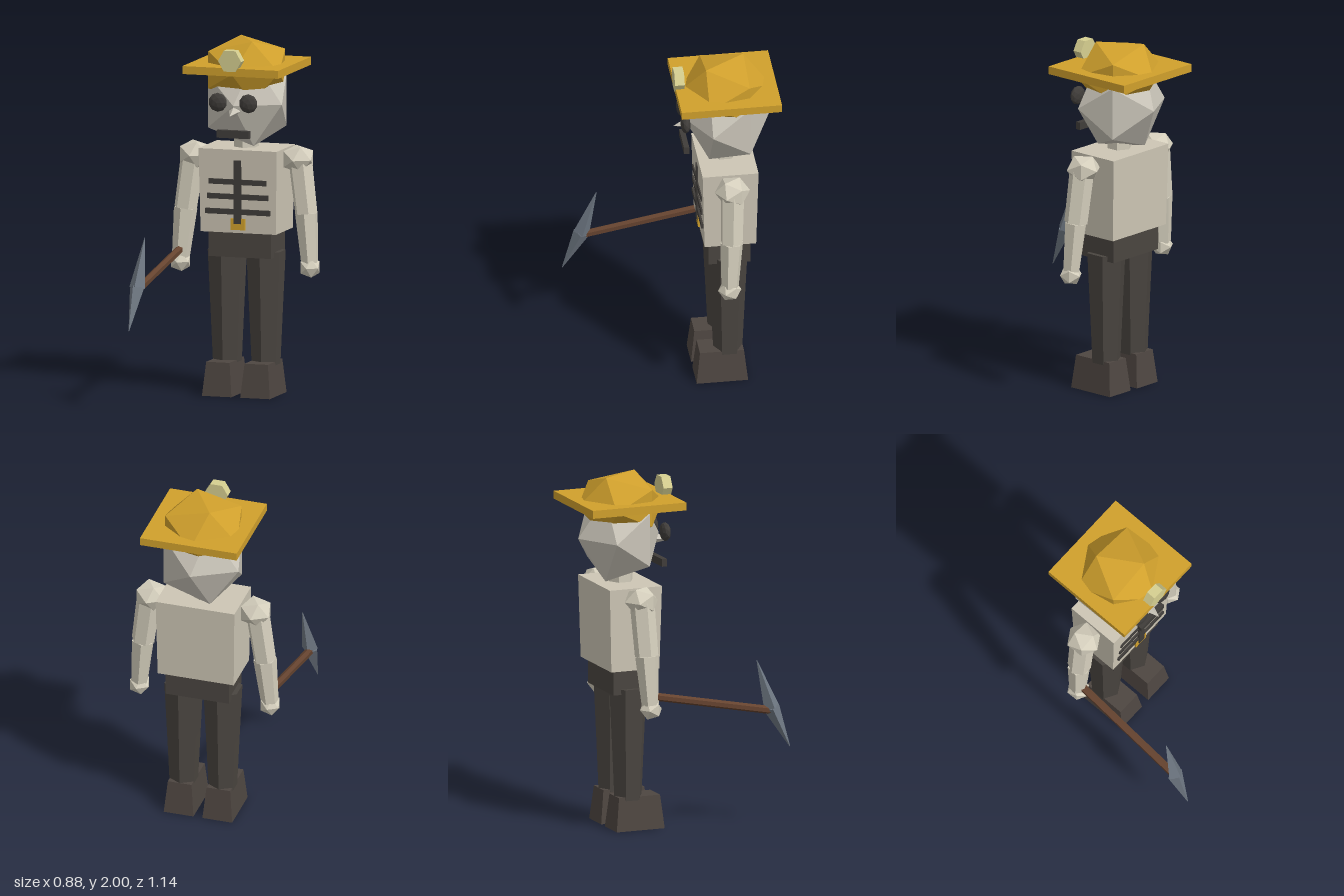
import * as THREE from 'three';

const mat = (name, color) => {
  const m = new THREE.MeshStandardMaterial({ color, flatShading: true });
  m.name = name;
  return m;
};

export function createModel() {
  const root = new THREE.Group();
  root.name = 'skeletonMiner';

  const skullBone = mat('skull bone', 0xc9c4b8);
  const bone = mat('bone', 0xd5cfbd);
  const shirt = mat('pale torso', 0xcdc6b5);
  const gold = mat('helmet gold', 0xd0a02c);
  const lampGlass = mat('lamp yellow', 0xd6cf90);
  const dark = mat('dark features', 0x403d3a);
  const trousers = mat('trousers', 0x4a4540);
  const boots = mat('boots', 0x4e4641);
  const wood = mat('wood', 0x65432f);
  const steel = mat('steel', 0x6f7883);

  const add = (name, geo, material, x = 0, y = 0, z = 0) => {
    const mesh = new THREE.Mesh(geo, material);
    mesh.name = name;
    mesh.position.set(x, y, z);
    root.add(mesh);
    return mesh;
  };

  // Faceted ball with its poles along z
  const ball = (name, material, [x, y, z], [rx, ry, rz], detail = 0) => {
    const geo = new THREE.IcosahedronGeometry(1, detail);
    geo.rotateX(Math.atan2(1, (1 + Math.sqrt(5)) / 2)).rotateZ(Math.PI / 2).scale(rx, ry, rz);
    return add(name, geo, material, x, y, z);
  };

  // Box whose top and bottom have different widths and depths
  const taperBox = (name, material, [x, y, z], h, [topW, topD], [botW, botD]) => {
    const geo = new THREE.BoxGeometry(1, h, 1);
    const p = geo.attributes.position;
    for (let i = 0; i < p.count; i++) {
      const up = p.getY(i) > 0;
      p.setX(i, p.getX(i) * (up ? topW : botW));
      p.setZ(i, p.getZ(i) * (up ? topD : botD));
    }
    geo.computeVertexNormals();
    return add(name, geo, material, x, y, z);
  };

  // Tapered prism running from point a (radius ra) to point b (radius rb)
  const limb = (name, material, a, b, ra, rb, sides = 6) => {
    const from = new THREE.Vector3(...a), to = new THREE.Vector3(...b);
    const dir = to.clone().sub(from);
    const mesh = add(name, new THREE.CylinderGeometry(rb, ra, dir.length(), sides), material);
    mesh.position.copy(from).add(to).multiplyScalar(0.5);
    mesh.quaternion.setFromUnitVectors(new THREE.Vector3(0, 1, 0), dir.normalize());
    return mesh;
  };

  const box = (name, material, w, h, d, x, y, z) =>
    add(name, new THREE.BoxGeometry(w, h, d), material, x, y, z);

  // Torso, hips and neck
  taperBox('torso', shirt, [0, 1.157, -0.292], 0.47, [0.46, 0.315], [0.444, 0.29]);
  box('hips', trousers, 0.37, 0.15, 0.235, 0, 0.855, -0.292);
  limb('neck', bone, [0, 1.34, -0.288], [0, 1.47, -0.288], 0.07, 0.07);

  // Chest markings and buckle
  box('spine', dark, 0.042, 0.358, 0.026, 0, 1.154, -0.142);
  [[1.21, 0.34], [1.127, 0.36], [1.042, 0.38]].forEach(([y, w]) =>
    box('rib', dark, w, 0.03, 0.024, 0, y, -0.144));
  box('buckle', gold, 0.084, 0.064, 0.022, 0, 0.972, -0.146);

  // Head and face
  ball('skull', skullBone, [0, 1.65, -0.302], [0.27, 0.282, 0.243]);
  for (const s of [1, -1]) ball('eye', dark, [s * 0.09, 1.668, -0.057], [0.054, 0.054, 0.028], 1);
  limb('nose', skullBone, [0, 1.618, -0.085], [0, 1.6, 0], 0.034, 0, 4);
  box('mouth', dark, 0.19, 0.043, 0.03, 0, 1.491, -0.063);

  // Helmet with square brim and lamp
  ball('helmetDome', gold, [0, 1.83, -0.291], [0.259, 0.2, 0.257]);
  box('helmetBrim', gold, 0.565, 0.045, 0.565, 0, 1.847, -0.292);
  const lamp = new THREE.CylinderGeometry(0.068, 0.068, 0.055, 6);
  lamp.rotateY(Math.PI / 6).rotateX(Math.PI / 2);
  add('helmetLamp', lamp, lampGlass, -0.002, 1.91, -0.03);

  // Arms and legs, mirrored
  for (const s of [1, -1]) {
    const shoulder = [s * 0.305, 1.335, -0.291];
    const elbow = [s * 0.356, 1.03, -0.28], wrist = [s * 0.38, 0.755, -0.268];
    ball('shoulder', bone, shoulder, [0.1, 0.085, 0.1]);
    limb('upperArm', bone, [s * 0.316, 1.335, -0.291], elbow, 0.07, 0.066);
    limb('forearm', bone, elbow, wrist, 0.066, 0.05);
    ball('hand', bone, [s * 0.382, 0.73, -0.265], [0.064, 0.062, 0.066]);

    const knee = [s * 0.114, 0.48, -0.292];
    limb('thigh', trousers, [s * 0.114, 0.81, -0.292], knee, 0.112, 0.096);
    limb('shin', trousers, knee, [s * 0.114, 0.17, -0.292], 0.096, 0.082);
    taperBox('boot', boots, [s * 0.113, 0.095, -0.25], 0.19, [0.138, 0.248], [0.174, 0.29]);
  }

  // Pickaxe held in the right hand
  limb('pickHandle', wood, [-0.376, 0.806, -0.27], [-0.39, 0.665, 0.46], 0.023, 0.023);
  const centre = [-0.388, 0.68, 0.462];
  limb('pickUpperPoint', steel, centre, [-0.37, 0.953, 0.38], 0.046, 0.002, 4);
  limb('pickLowerPoint', steel, centre, [-0.4, 0.45, 0.568], 0.046, 0.002, 4);

  return root;
}
